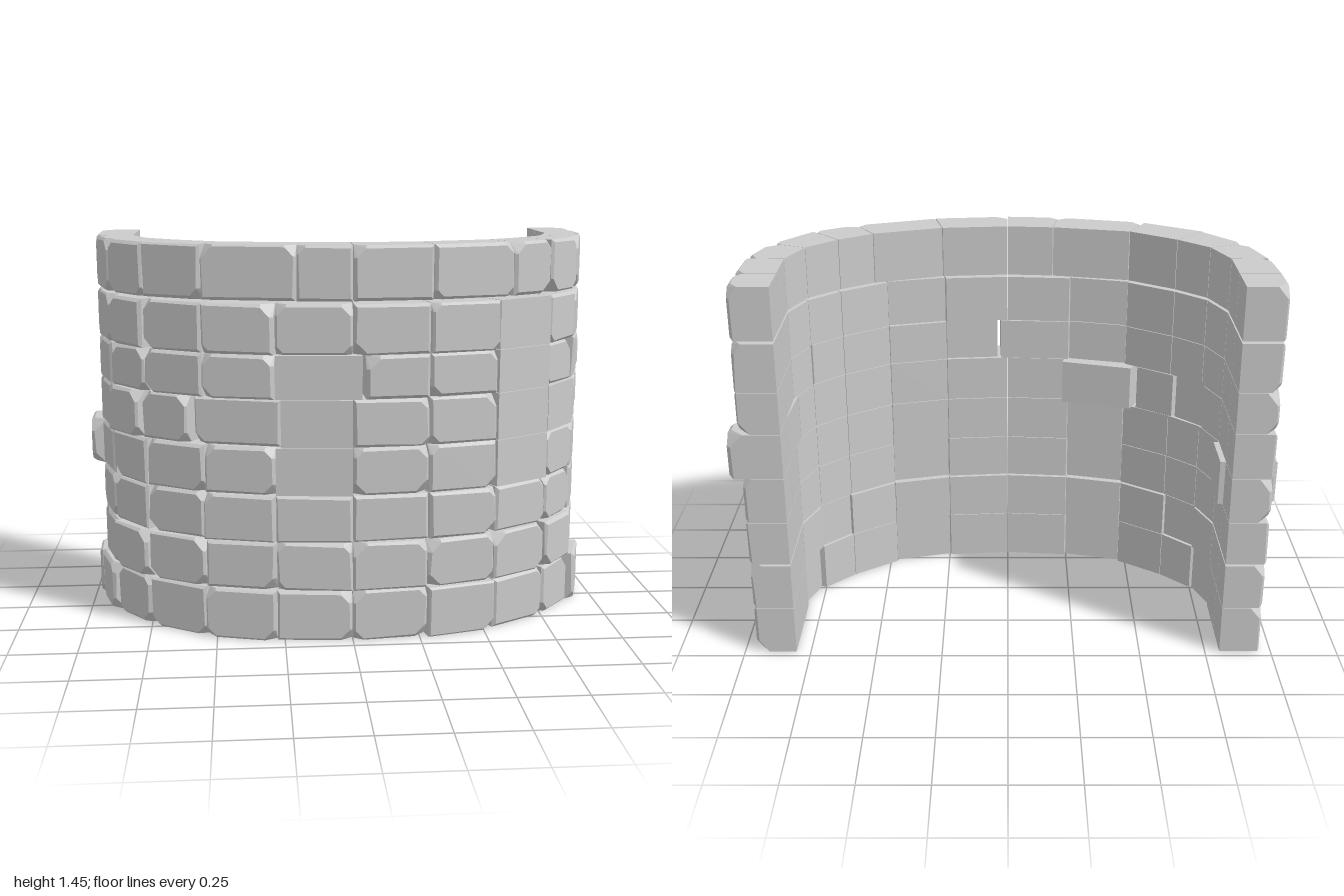
import * as THREE from 'three';
import { ConvexGeometry } from 'three/addons/geometries/ConvexGeometry.js';

// Plan of one half of the wall, from the rear end to the middle: [outer x, outer z, inner x, inner z]
const HALF = [
  [-0.955, -0.47, -0.805, -0.47], [-0.955, -0.32, -0.805, -0.32], [-0.948, -0.135, -0.805, -0.14],
  [-0.89, 0.06, -0.75, 0.005], [-0.755, 0.23, -0.64, 0.11], [-0.54, 0.36, -0.47, 0.225],
  [-0.28, 0.43, -0.245, 0.28], [0, 0.457, 0, 0.3],
];
const PLAN = [...HALF, ...HALF.slice(0, -1).reverse().map(([a, b, c, d]) => [-a, b, -c, d])];

// Bottom and top of every course
const COURSES = [[0, 0.19], [0.192, 0.371], [0.379, 0.55], [0.552, 0.727],
  [0.729, 0.903], [0.905, 1.063], [1.065, 1.245], [1.255, 1.45]];

// Joints that sit off the regular spacing, by course
const SHIFTED = {
  4: { 3: 2.9, 4: 3.88, 5: 4.78, 6: 6.07, 12: 11.78 },
  5: { 7: 7.14 },
  7: { 6: 6.28, 8: 8.04, 9: 9.27 },
};
// Wider open joints: amount each neighbour gives up, as a share of a stone
const OPEN = { 4: { 4: 0.03, 5: 0.06 }, 5: { 7: 0.025, 11: 0.03 } };

// Stones standing proud: [outer push, inner push]
const PUSHED = {
  0: { 1: [0.03, 0], 2: [0.02, 0.01], 5: [0.015, 0.01], 8: [0.012, 0.01], 11: [0.03, 0.02] },
  1: { 3: [0.012, 0.01], 10: [0.01, 0.01] },
  2: { 5: [0.015, 0.01], 6: [0.01, 0], 8: [0.012, 0.01] },
  3: { 1: [0.045, -0.02] },
  4: { 3: [0.015, 0.01], 5: [-0.01, -0.03], 13: [0.045, 0] },
  5: { 5: [0.01, 0.01], 7: [0.008, 0.01], 10: [-0.01, 0], 12: [0.006, 0] },
  6: { 3: [0.01, 0], 5: [0.012, 0.01], 7: [0.01, 0], 8: [0.012, 0.01] },
};
// Stones with square, unworn edges, by course
const PLAIN = { 3: [6, 9], 4: [6, 9, 10], 5: [6, 9], 6: [9] };

let seed = 7;
function random() {
  seed = (seed * 16807) % 2147483647;
  return seed / 2147483647;
}

// Plan position at a fractional joint number
function planAt(t) {
  const i = Math.min(Math.floor(t), PLAN.length - 2);
  return PLAN[i].map((v, k) => v + (PLAN[i + 1][k] - v) * (t - i));
}

// One stone: flat back, chamfered face, some corners knocked off
function stoneGeometry(a, b, y0, y1, [outPush, inPush], plain) {
  const length = Math.hypot(b[0] - a[0], b[1] - a[1]);
  const nx = -(b[1] - a[1]) / length, nz = (b[0] - a[0]) / length;
  const depth = 0.155, height = y1 - y0;

  // u along the wall, v up, d outward from the back
  const place = (u, v, d) => {
    const s = u / length, k = d / depth;
    const push = inPush + (outPush - inPush) * k;
    const mix = (i) => {
      const inner = a[i + 2] + (b[i + 2] - a[i + 2]) * s;
      const outer = a[i] + (b[i] - a[i]) * s;
      return inner + (outer - inner) * k;
    };
    return new THREE.Vector3(mix(0) + nx * push, y0 + v, mix(1) + nz * push);
  };

  const points = [];
  for (const right of [0, 1]) for (const top of [0, 1]) {
    const add = (u, v, d) =>
      points.push(place(right ? length - u : u, top ? height - v : v, d));
    add(0, 0, 0);
    if (plain) {
      add(0, 0, depth);
      continue;
    }
    const bevel = 0.006 + random() * 0.007;
    const cut = random() < 0.6 ? 0.03 + random() * 0.02 : bevel;
    add(bevel, cut, depth);
    add(cut, bevel, depth);
    add(0, cut, depth - bevel);
    add(cut, 0, depth - bevel);
    add(0, 0, depth - cut);
  }
  return new ConvexGeometry(points);
}

export function createModel() {
  const wall = new THREE.Group();
  wall.name = 'curvedStoneWall';
  const material = new THREE.MeshStandardMaterial({ color: 0xcccccc, flatShading: true });

  COURSES.forEach(([y0, y1], c) => {
    const course = new THREE.Group();
    course.name = `course${c + 1}`;
    const joint = (i) => SHIFTED[c]?.[i] ?? i;
    const gap = (i) => (i === 0 || i === PLAN.length - 1 ? 0 : OPEN[c]?.[i] ?? 0.006);
    for (let i = 0; i < PLAN.length - 1; i++) {
      const a = planAt(joint(i) + gap(i));
      const b = planAt(joint(i + 1) - gap(i + 1));
      const push = PUSHED[c]?.[i] ?? [0, 0];
      const plain = PLAIN[c]?.includes(i) ?? false;
      const stone = new THREE.Mesh(stoneGeometry(a, b, y0, y1, push, plain), material);
      stone.name = `stone${i + 1}`;
      course.add(stone);
    }
    wall.add(course);
  });
  return wall;
}
